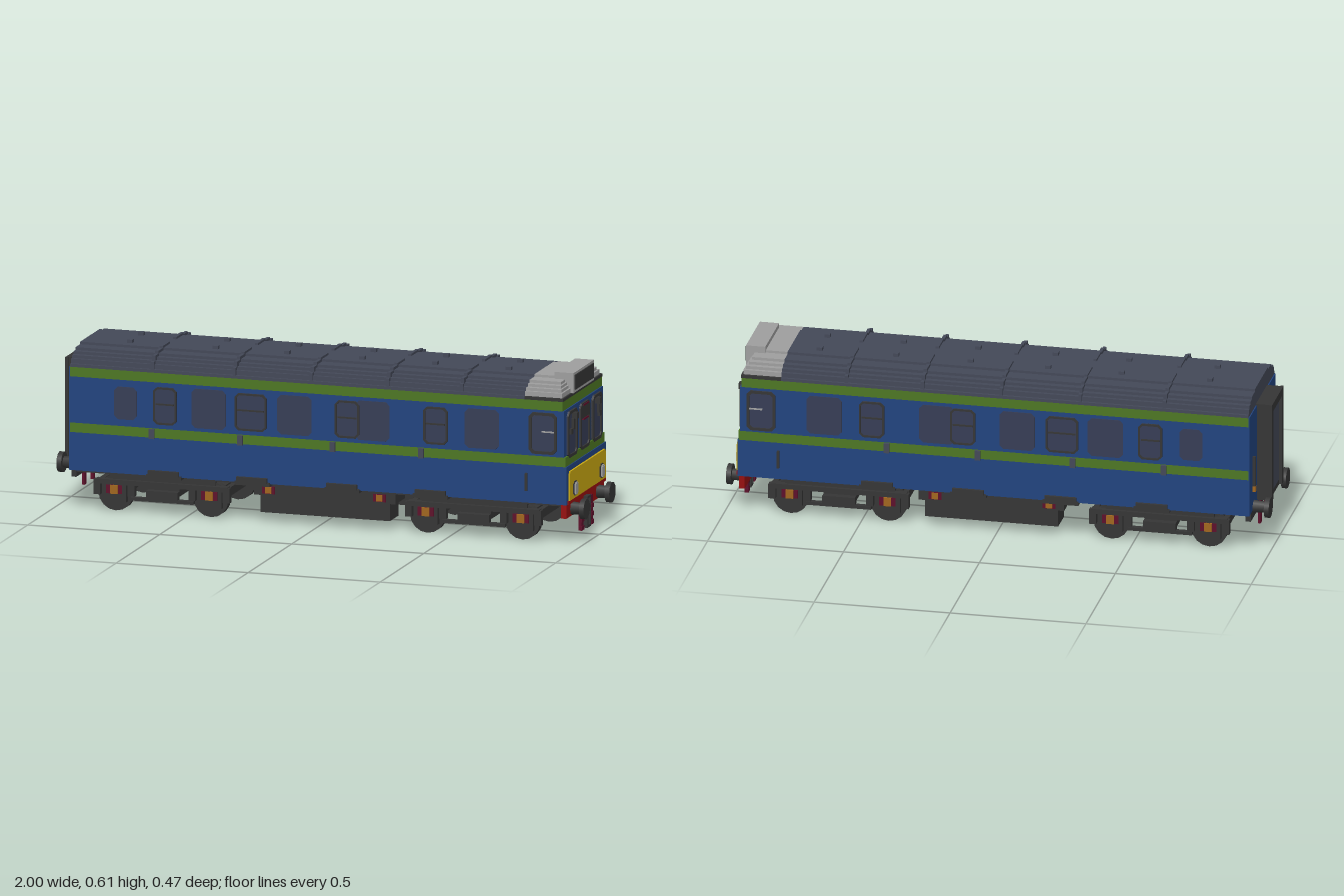
import * as THREE from 'three';

const mat = (name, color) => Object.assign(new THREE.MeshStandardMaterial({ color }), { name });

export function createModel() {
  const blue = mat('body blue', 0x21437f), green = mat('band green', 0x4d7623), yellow = mat('panel yellow', 0xc9a812),
    red = mat('beam red', 0x960f0f), crimson = mat('hose crimson', 0x5e0f2a), slate = mat('roof slate', 0x434857),
    glass = mat('window glass', 0x363d55), dark = mat('charcoal', 0x353535), pale = mat('light grey', 0x9e9e9e),
    orange = mat('axle orange', 0xa0661e);
  const model = new THREE.Group();
  model.name = 'railcar';
  const group = (name) => {
    const g = new THREE.Group();
    g.name = name;
    model.add(g);
    return g;
  };
  const add = (parent, name, geo, m, x = 0, y = 0, z = 0) => {
    const mesh = new THREE.Mesh(geo, m);
    mesh.name = name;
    mesh.position.set(x, y, z);
    parent.add(mesh);
    return mesh;
  };
  // box given by its limits on each axis
  const box = (parent, name, m, x0, x1, y0, y1, z0, z1) =>
    add(parent, name, new THREE.BoxGeometry(x1 - x0, y1 - y0, Math.abs(z1 - z0)), m, (x0 + x1) / 2, (y0 + y1) / 2, (z0 + z1) / 2);
  // the same box on both sides
  const pair = (parent, name, m, x0, x1, y0, y1, z0, z1) => {
    for (const s of [1, -1]) box(parent, name, m, x0, x1, y0, y1, s * z0, s * z1);
  };
  // pane outline with clipped corners
  const outline = (w, h, c, T = THREE.Shape) => {
    const a = w / 2, b = h / 2;
    return new T([[-a + c, -b], [a - c, -b], [a, -b + c], [a, b - c], [a - c, b], [-a + c, b], [-a, b - c], [-a, -b + c]]
      .map((p) => new THREE.Vector2(...p)));
  };
  const plate = (shape, depth) => new THREE.ExtrudeGeometry(shape, { depth, bevelEnabled: false });
  // glazed window, turned by angle about y
  const addWindow = (parent, name, w, h, x, y, z, angle, frame) => {
    const g = new THREE.Group();
    g.name = name;
    g.position.set(x, y, z);
    g.rotation.y = angle;
    parent.add(g);
    add(g, 'glass', plate(outline(w, h, 0.014), 0.003), glass);
    if (frame) {
      const ring = outline(w, h, 0.014);
      ring.holes.push(outline(w - 2 * frame, h - 2 * frame, 0.01, THREE.Path));
      add(g, 'frame', plate(ring, 0.008), dark);
    }
    return g;
  };

  // body shell in stacked colour layers, cab end stepping back as it rises
  const body = group('body');
  for (const [name, m, x1, y0, y1] of [
    ['lowerBody', blue, 0.95, 0.15, 0.29], ['lowerBand', green, 0.946, 0.29, 0.325],
    ['upperBody', blue, 0.94, 0.325, 0.495], ['upperBand', green, 0.935, 0.495, 0.53],
  ]) box(body, name, m, -0.93, x1, y0, y1, -0.225, 0.225);
  box(body, 'rearWall', blue, -0.934, -0.93, 0.15, 0.53, -0.224, 0.224);
  box(body, 'underfloor', dark, -0.92, 0.92, 0.138, 0.15, -0.195, 0.195);

  // stepped roof, pale over the cab
  const roof = group('roof');
  const steps = [[0.225, 0.53, 0.541], [0.215, 0.541, 0.558], [0.203, 0.558, 0.569],
    [0.185, 0.569, 0.579], [0.163, 0.579, 0.589], [0.11, 0.589, 0.598]];
  steps.forEach(([w, y0, y1], i) => {
    box(roof, 'roofStep', slate, -0.93, 0.79, y0, y1, -w, w);
    box(roof, 'cabRoofStep', i ? pale : dark, 0.79, 0.937 - i * 0.007, y0, y1, -w, w);
  });
  for (const x of [-0.62, -0.31, -0.02, 0.27, 0.55]) {
    pair(roof, 'ribTop', slate, x - 0.006, x + 0.006, 0.589, 0.606, 0.035, 0.12);
    pair(roof, 'ribUpper', slate, x - 0.006, x + 0.006, 0.579, 0.599, 0.12, 0.17);
    pair(roof, 'ribLower', slate, x - 0.006, x + 0.006, 0.565, 0.588, 0.17, 0.205);
    pair(roof, 'ribFoot', slate, x - 0.006, x + 0.006, 0.54, 0.569, 0.205, 0.222);
  }
  for (const x of [-0.755, -0.43, -0.16, 0.125, 0.4, 0.68])
    pair(roof, 'roofVent', slate, x - 0.01, x + 0.01, 0.598, 0.61, 0.055, 0.075);

  // destination box above the cab
  box(roof, 'destinationBox', pale, 0.87, 0.941, 0.54, 0.614, -0.118, 0.118);
  box(roof, 'destinationPanel', dark, 0.941, 0.945, 0.551, 0.605, -0.107, 0.107);

  // side windows, door fittings and footsteps
  const sides = group('sides');
  for (const s of [1, -1]) {
    const z = s * 0.225, angle = s > 0 ? 0 : Math.PI;
    for (const [x, w] of [[-0.72, 0.085], [-0.405, 0.13], [-0.08, 0.13], [0.215, 0.13], [0.63, 0.13]])
      addWindow(sides, 'sideWindow', w, w < 0.1 ? 0.12 : 0.145, x, 0.41, z, angle, 0);
    for (const [x, w] of [[-0.57, 0.088], [-0.245, 0.12], [0.12, 0.092], [0.455, 0.092]]) {
      const win = addWindow(sides, 'doorWindow', w, 0.137, x, 0.41, z, angle, 0.007);
      add(win, 'ventBar', new THREE.BoxGeometry(w - 0.02, 0.006, 0.006), dark, 0, 0.006, 0.004);
    }
    const cab = addWindow(sides, 'cabSideWindow', 0.105, 0.152, 0.862, 0.41, z, angle, 0.01);
    add(cab, 'ventBar', new THREE.BoxGeometry(0.05, 0.005, 0.006), pale, s * 0.02, 0.006, 0.004);
  }
  for (const x of [-0.62, -0.285, 0.065, 0.4])
    pair(sides, 'doorHandle', slate, x - 0.01, x + 0.01, 0.287, 0.323, 0.225, 0.235);
  for (const x of [-0.575, -0.24, 0.1, 0.435]) {
    pair(sides, 'footstep', dark, x - 0.058, x + 0.058, 0.152, 0.171, 0.2, 0.236);
    pair(sides, 'stepBracket', dark, x - 0.066, x + 0.066, 0.14, 0.155, 0.19, 0.23);
  }
  pair(sides, 'cabHandrail', dark, 0.795, 0.803, 0.195, 0.26, 0.225, 0.235);

  // cab face
  const cab = group('cabFront');
  box(cab, 'warningPanel', yellow, 0.95, 0.957, 0.163, 0.263, -0.204, 0.204);
  box(cab, 'warningPanelTop', yellow, 0.95, 0.957, 0.263, 0.27, -0.198, 0.198);
  for (const [z, w] of [[-0.141, 0.105], [0, 0.107], [0.141, 0.105]])
    addWindow(cab, 'cabWindow', w, 0.17, 0.94, 0.4, z, Math.PI / 2, 0.011);
  box(cab, 'indicatorBlind', dark, 0.94, 0.949, 0.43, 0.477, -0.05, 0.05);
  for (const y of [0.426, 0.478]) box(cab, 'blindTrim', crimson, 0.94, 0.951, y - 0.003, y + 0.003, -0.027, 0.027);
  for (const s of [1, -1]) {
    // wiper and motor
    box(cab, 'wiperMotor', dark, 0.94, 0.963, 0.452, 0.475, s * 0.12, s * 0.142);
    box(cab, 'wiperArm', dark, 0.944, 0.955, 0.415, 0.455, s * 0.14, s * 0.152);
    box(cab, 'wiperBlade', dark, 0.944, 0.952, 0.4, 0.42, s * 0.15, s * 0.172);
    // headlight
    box(cab, 'lampRim', dark, 0.957, 0.961, 0.181, 0.219, s * 0.131, s * 0.173);
    box(cab, 'lampRimTall', dark, 0.957, 0.961, 0.174, 0.226, s * 0.141, s * 0.163);
    box(cab, 'lampLens', pale, 0.957, 0.967, 0.183, 0.217, s * 0.137, s * 0.167);
    box(cab, 'lampLensTall', pale, 0.957, 0.966, 0.178, 0.222, s * 0.144, s * 0.16);
  }
  box(cab, 'bufferBeam', red, 0.925, 0.942, 0.098, 0.15, -0.215, 0.215);
  box(cab, 'bufferBeamTop', red, 0.942, 0.955, 0.15, 0.163, -0.215, 0.215);
  box(cab, 'bufferBeamFace', red, 0.942, 0.946, 0.098, 0.15, -0.215, 0.215);

  // brake hoses and coupling hook
  for (const z of [0.055, -0.055]) {
    box(cab, 'hose', crimson, 0.943, 0.954, 0.025, 0.132, z - 0.01, z + 0.01);
    for (const y of [0.03, 0.06, 0.09])
      box(cab, 'hoseJoint', crimson, 0.943, 0.957, y - 0.006, y + 0.01, z - 0.014, z + 0.014);
  }
  pair(cab, 'couplingLink', dark, 0.943, 0.962, 0.025, 0.14, 0.012, 0.021);
  for (const y of [0.025, 0.095, 0.132]) box(cab, 'couplingBar', dark, 0.943, 0.962, y, y + 0.009, -0.02, 0.02);

  // buffers at both ends
  const buffers = group('buffers');
  for (const z of [0.147, -0.147]) for (const [end, y, root, h] of [[1, 0.124, 0.935, 1], [-1, 0.16, 0.925, 0.995]]) {
    add(buffers, 'bufferStock', new THREE.CylinderGeometry(0.02, 0.026, h - root, 8), dark, end * (h + root) / 2, y, z).rotation.z = -end * Math.PI / 2;
    add(buffers, 'bufferHead', new THREE.CylinderGeometry(0.038, 0.038, 0.018, 12), dark, end * (h - 0.008), y, z).rotation.z = Math.PI / 2;
  }

  // rear gangway
  const rear = group('rearGangway');
  box(rear, 'gangwayBellows', dark, -0.98, -0.93, 0.165, 0.535, -0.095, 0.095);
  pair(rear, 'gangwayPost', dark, -0.99, -0.98, 0.165, 0.535, 0.07, 0.1);
  box(rear, 'gangwayHeader', dark, -0.99, -0.98, 0.505, 0.535, -0.07, 0.07);
  box(rear, 'gangwayDoor', slate, -0.983, -0.98, 0.19, 0.495, -0.055, 0.055);
  pair(rear, 'rearHandrail', dark, -0.945, -0.934, 0.24, 0.36, 0.16, 0.17);
  pair(rear, 'rearLamp', orange, -0.946, -0.934, 0.225, 0.245, 0.158, 0.172);
  for (const z of [0.05, -0.05]) box(rear, 'rearHose', crimson, -0.94, -0.93, 0.06, 0.15, z - 0.01, z + 0.01);
  box(rear, 'rearBeam', dark, -0.934, -0.915, 0.12, 0.152, -0.2, 0.2);

  // bogies
  for (const cx of [-0.595, 0.585]) {
    const bogie = group('bogie');
    bogie.position.x = cx;
    for (const wx of [-0.18, 0.18]) {
      for (const z of [0.155, -0.155])
        add(bogie, 'wheel', new THREE.CylinderGeometry(0.066, 0.066, 0.03, 16), dark, wx, 0.066, z).rotation.x = Math.PI / 2;
      box(bogie, 'axle', dark, wx - 0.025, wx + 0.025, 0.05, 0.1, -0.14, 0.14);
      pair(bogie, 'axleGuard', dark, wx - 0.045, wx + 0.045, 0.036, 0.11, 0.17, 0.188);
      pair(bogie, 'axleBoxRim', crimson, wx - 0.03, wx + 0.03, 0.066, 0.098, 0.185, 0.191);
      pair(bogie, 'axleBox', orange, wx - 0.014, wx + 0.014, 0.066, 0.098, 0.185, 0.196);
      for (const d of [-0.065, 0.065]) pair(bogie, 'spring', dark, wx + d - 0.013, wx + d + 0.013, 0.06, 0.115, 0.17, 0.193);
    }
    pair(bogie, 'sideFrame', dark, -0.25, 0.25, 0.1, 0.118, 0.165, 0.193);
    pair(bogie, 'equaliserBar', dark, -0.12, 0.12, 0.045, 0.057, 0.17, 0.19);
    pair(bogie, 'bolsterSpring', dark, -0.06, 0.06, 0.057, 0.085, 0.165, 0.19);
    pair(bogie, 'frameHanger', dark, -0.2, 0.2, 0.118, 0.138, 0.15, 0.18);
    box(bogie, 'bolster', dark, -0.06, 0.06, 0.066, 0.14, -0.165, 0.165);
    for (const x of [-0.25, 0.23]) box(bogie, 'headstock', dark, x, x + 0.02, 0.08, 0.112, -0.17, 0.17);
  }

  // equipment boxes slung under the middle
  const under = group('underfloorEquipment');
  pair(under, 'equipmentBox', dark, -0.222, 0.268, 0.036, 0.1, 0.085, 0.185);
  pair(under, 'equipmentFrame', dark, -0.245, 0.29, 0.1, 0.14, 0.08, 0.19);
  for (const x of [-0.19, 0.23]) {
    pair(under, 'fillerRim', crimson, x - 0.024, x + 0.024, 0.106, 0.134, 0.188, 0.193);
    pair(under, 'fillerCap', orange, x - 0.012, x + 0.012, 0.108, 0.132, 0.188, 0.196);
  }
  box(under, 'driveShaft', dark, -0.4, 0.4, 0.1, 0.138, -0.03, 0.03);
  return model;
}
